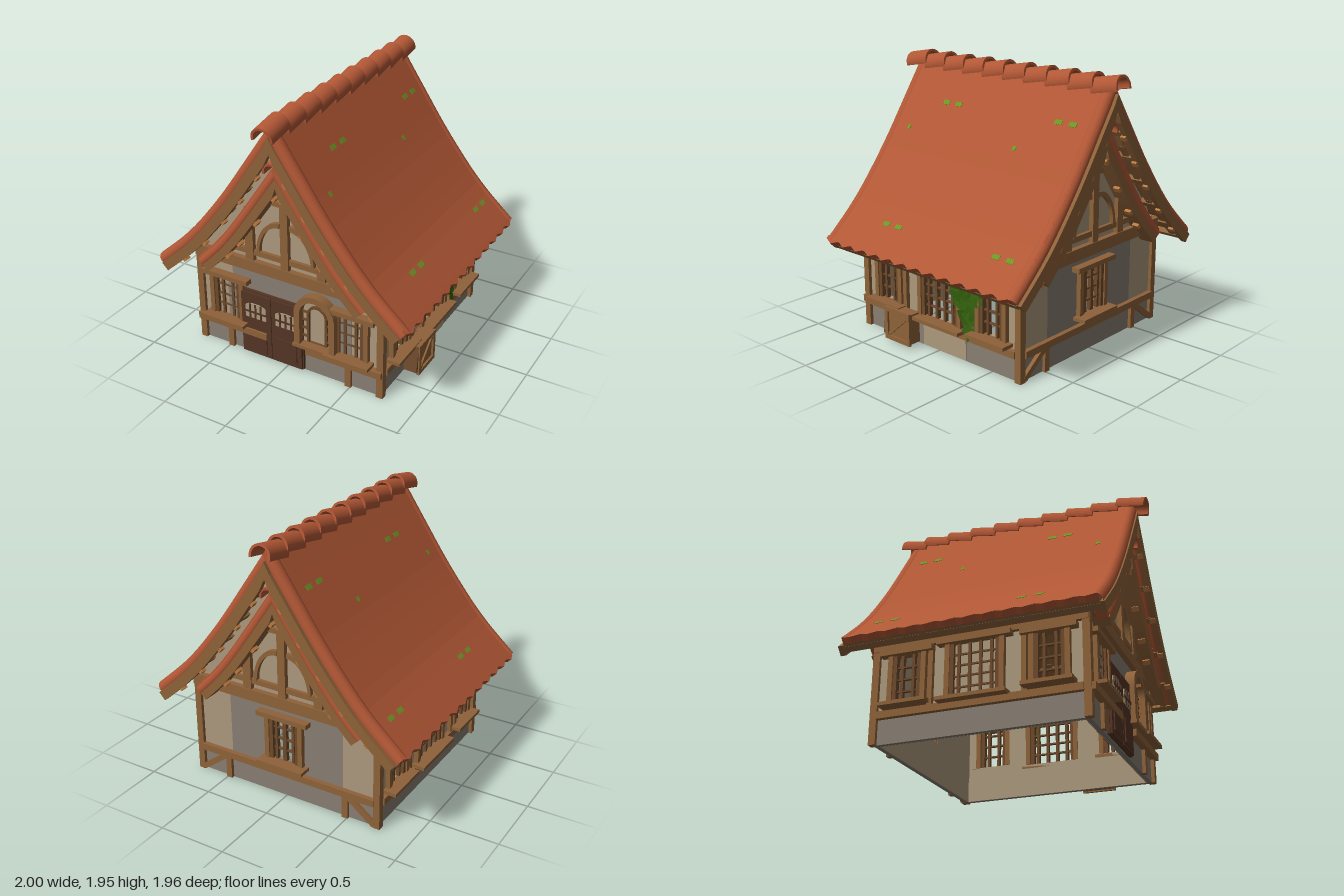
import * as THREE from 'three';

const mat = (name, color, two) => {
  const m = new THREE.MeshStandardMaterial({ color });
  m.name = name;
  if (two) m.side = THREE.DoubleSide;
  return m;
};
const M = {
  tile: mat('terracotta', 0xb15735), plaster: mat('plaster', 0xac997d), stone: mat('grey stone', 0x887e72),
  wood: mat('timber', 0x8e6239), dark: mat('dark timber', 0x543524), lattice: mat('lattice wood', 0x6e4a2c),
  peg: mat('pale wood', 0xb97a42), moss: mat('moss', 0x6c9624), ivy: mat('ivy', 0x33600d, true),
};

function add(parent, name, geo, material, x = 0, y = 0, z = 0, rz = 0) {
  const m = new THREE.Mesh(geo, material);
  m.name = name;
  m.position.set(x, y, z);
  m.rotation.z = rz;
  parent.add(m);
  return m;
}
const box = (p, name, m, w, h, d, x, y, z, rz) => add(p, name, new THREE.BoxGeometry(w, h, d), m, x, y, z, rz);
const extrude = (shape, depth) => new THREE.ExtrudeGeometry(shape, { depth, bevelEnabled: false, curveSegments: 12 });
// beam between two points of a wall
function beam(p, name, m, x0, y0, x1, y1, w, d, z) {
  return box(p, name, m, Math.hypot(x1 - x0, y1 - y0), w, d, (x0 + x1) / 2, (y0 + y1) / 2, z, Math.atan2(y1 - y0, x1 - x0));
}
const rect = (x0, y0, x1, y1) => [[x0, y0], [x1, y0], [x1, y1], [x0, y1]].map(a => new THREE.Vector2(...a));

// curved roof profiles, from the ridge to the right eave
const curve = pts => new THREE.SplineCurve(pts.map(p => new THREE.Vector2(...p)));
const mainCurve = curve([[0, 1.9], [0.2, 1.605], [0.43, 1.275], [0.7, 0.945], [0.98, 0.685]]);
const porchCurve = curve([[0, 1.61], [0.17, 1.36], [0.38, 1.06], [0.52, 0.885], [0.67, 0.73]]);
function offset(c, off, t) {
  const p = c.getPoint(t), d = c.getTangent(t);
  if (t === 0) return new THREE.Vector2(0, p.y - off / d.x);
  return new THREE.Vector2(Math.max(0, p.x + d.y * off), p.y - d.x * off);
}
function side(c, off, n = 16) {
  return Array.from({ length: n + 1 }, (_, i) => offset(c, off, i / n));
}
const flip = a => a.map(p => new THREE.Vector2(-p.x, p.y));
// whole two-sided roof layer lying between two depths below the profile
function roofLayer(p, name, m, c, o0, o1, z0, z1) {
  const a = side(c, o0), b = side(c, o1);
  const s = new THREE.Shape([...flip(a).reverse(), ...a.slice(1), ...b.reverse(), ...flip(b).reverse().slice(1)]);
  return add(p, name, extrude(s, z1 - z0), m, 0, 0, z0);
}
function verge(p, c, z, r) {
  for (const s of [-1, 1]) {
    const path = new THREE.CatmullRomCurve3(side(c, r * 0.85, 10).map(q => new THREE.Vector3(s * q.x, q.y, z)));
    add(p, 'vergeTiles', new THREE.TubeGeometry(path, 20, r, 12), M.tile);
  }
}
function ridgeTile(p, r, len, y, z, tilt) {
  const s = new THREE.Shape();
  s.absarc(0, 0, r, -0.25, Math.PI + 0.25, false);
  s.absarc(0, 0, r * 0.78, Math.PI + 0.25, -0.25, true);
  const g = extrude(s, len);
  g.translate(0, 0, -len / 2);
  add(p, 'ridgeTile', g, M.tile, 0, y, z).rotation.x = tilt;
}

function wallPlate(p, name, m, outline, holes, z = -0.03, depth = 0.03) {
  const s = new THREE.Shape(outline);
  for (const h of holes) s.holes.push(new THREE.Path(h));
  add(p, name, extrude(s, depth), m, 0, 0, z);
}
const hole = w => rect(w.u - w.w / 2, w.y0, w.u + w.w / 2, w.y1);
// latticed window with frame, sill and lintel
function windowFrame(p, { u, w, y0, y1, cols = 3, rows = 4 }) {
  const g = new THREE.Group(), h = y1 - y0, ym = (y0 + y1) / 2;
  g.name = 'window';
  p.add(g);
  for (const s of [-1, 1]) {
    box(g, 'windowJamb', M.wood, 0.035, h, 0.07, u + s * (w / 2), ym, 0);
    box(g, 'casement', M.lattice, 0.03, h, 0.04, u + s * (w / 2 - 0.03), ym, 0.005);
  }
  box(g, 'windowLintel', M.wood, w + 0.14, 0.035, 0.09, u, y1 + 0.015, 0.015);
  box(g, 'windowSill', M.wood, w + 0.1, 0.025, 0.13, u, y0 - 0.015, 0.035);
  for (let i = 1; i < cols; i++) box(g, 'mullion', M.lattice, i * 2 === cols ? 0.03 : 0.02, h, 0.03, u - w / 2 + w * i / cols, ym, 0);
  for (let j = 1; j < rows; j++) box(g, 'glazingBar', M.lattice, w, 0.012, 0.02, u, y0 + h * j / rows, 0);
}

function gable(p) {
  // plaster triangle under the roof
  const a = side(mainCurve, 0.07).filter(q => q.y > 0.85);
  wallPlate(p, 'gableWall', M.plaster, [new THREE.Vector2(-0.73, 0.7), new THREE.Vector2(0.73, 0.7), ...a.reverse(), ...flip(a).reverse().slice(1)], []);
  box(p, 'tieBeam', M.wood, 1.5, 0.085, 0.06, 0, 0.745, 0.01);
  box(p, 'gableRail', M.wood, 0.9, 0.04, 0.04, 0, 0.85, 0.005);
  box(p, 'kingPost', M.wood, 0.06, 0.75, 0.05, 0, 1.15, 0.01);
  for (const s of [-1, 1]) {
    box(p, 'gablePost', M.wood, 0.065, 0.42, 0.045, s * 0.285, 0.98, 0.01);
    box(p, 'collar', M.wood, 0.1, 0.035, 0.04, s * 0.07, 1.27, 0.005);
    // arched brace
    const ring = new THREE.Shape();
    ring.absarc(0, 0, 0.27, 0, Math.PI / 2, false);
    ring.absarc(0, 0, 0.235, Math.PI / 2, 0, true);
    const g = extrude(ring, 0.03);
    g.scale(0.7, 1, 1);
    if (s > 0) add(p, 'archBrace', g, M.wood, 0.04, 0.86, 0);
    else add(p, 'archBrace', g, M.wood, -0.04, 0.86, 0.03).rotation.y = Math.PI;
  }
}

// front and back walls share this timber frame
function endWall(p, windows) {
  const holes = windows.map(hole);
  wallPlate(p, 'baseWall', M.stone, rect(-0.73, 0, 0.73, 0.17), []);
  wallPlate(p, 'innerLining', M.plaster, rect(-0.7, 0, 0.7, 0.7), holes, -0.037, 0.006);
  for (const s of [-1, 1]) {
    wallPlate(p, 'plasterPanel', M.plaster, s < 0 ? rect(-0.73, 0.17, -0.46, 0.7) : rect(0.46, 0.17, 0.73, 0.7), []);
    box(p, 'cornerPost', M.wood, 0.05, 0.76, 0.05, s * 0.73, 0.38, 0);
    box(p, 'basePost', M.wood, 0.045, 0.19, 0.04, s * 0.485, 0.095, 0.005);
  }
  wallPlate(p, 'centrePanel', M.stone, rect(-0.46, 0.17, 0.46, 0.7), holes);
  gable(p);
}

function arched(w, h, r) {
  const s = new THREE.Shape();
  s.moveTo(-w, 0).lineTo(w, 0).lineTo(w, h);
  s.absellipse(0, h, w, r, 0, Math.PI, false, 0);
  s.closePath();
  return s;
}

export function createModel() {
  const house = new THREE.Group();
  house.name = 'house';
  const wall = (name, x, z, ry) => {
    const g = new THREE.Group();
    g.name = name;
    g.position.set(x, 0, z);
    g.rotation.y = ry;
    house.add(g);
    return g;
  };

  // front wall with doors, two windows and an arched window
  const front = wall('frontWall', 0, 0.72, 0);
  endWall(front, []);
  for (const s of [-1, 1]) {
    box(front, 'frontRail', M.wood, 0.59, 0.05, 0.06, s * 0.455, 0.195, 0.02);
    box(front, 'windowBacking', M.stone, 0.12, 0.32, 0.008, s * 0.44, 0.42, 0.002);
    windowFrame(front, { u: s * 0.5, w: 0.25, y0: 0.26, y1: 0.58 });
  }
  box(front, 'doorFrame', M.dark, 0.51, 0.52, 0.02, -0.125, 0.27, 0.01);
  box(front, 'innerDoor', M.dark, 0.25, 0.5, 0.02, -0.3, 0.27, -0.045);
  for (const s of [-1, 1]) {
    const x = -0.125 + s * 0.125;
    box(front, 'doorLeaf', M.dark, 0.245, 0.5, 0.02, x, 0.265, 0.025);
    box(front, 'doorPanel', M.dark, 0.17, 0.17, 0.015, x, 0.13, 0.035);
    add(front, 'doorPane', extrude(arched(0.085, 0.09, 0.03), 0.006), M.plaster, x, 0.32, 0.035);
    for (const k of [-1, 0, 1]) box(front, 'doorBar', M.dark, 0.014, 0.115, 0.01, x + k * 0.045, 0.378, 0.04);
    box(front, 'doorBar', M.dark, 0.17, 0.014, 0.01, x, 0.37, 0.04);
  }
  const archFrame = arched(0.16, 0.25, 0.165);
  archFrame.holes.push(new THREE.Path(arched(0.115, 0.25, 0.12).getPoints(12)));
  add(front, 'archedFrame', extrude(archFrame, 0.07), M.wood, 0.245, 0.25, 0);
  add(front, 'archedPane', extrude(arched(0.12, 0.25, 0.12), 0.008), M.plaster, 0.245, 0.25, 0.002);
  const inner = arched(0.08, 0.22, 0.08);
  inner.holes.push(new THREE.Path(arched(0.062, 0.22, 0.062).getPoints(12)));
  add(front, 'archedTracery', extrude(inner, 0.02), M.lattice, 0.245, 0.27, 0.01);
  for (const s of [-1, 1]) for (let j = 0; j < 4; j++) box(front, 'archedBar', M.lattice, 0.05, 0.012, 0.015, 0.245 + s * 0.095, 0.31 + j * 0.065, 0.02);
  box(front, 'archedSill', M.wood, 0.34, 0.025, 0.1, 0.245, 0.245, 0.03);

  // back wall with one central window and corner braces
  const back = wall('backWall', 0, -0.745, Math.PI);
  const backWin = { u: 0, w: 0.27, y0: 0.29, y1: 0.62, cols: 4 };
  endWall(back, [backWin]);
  windowFrame(back, backWin);
  box(back, 'backRail', M.wood, 1.42, 0.05, 0.05, 0, 0.195, 0.01);
  for (const s of [-1, 1]) beam(back, 'cornerBrace', M.wood, s * 0.71, 0.02, s * 0.5, 0.18, 0.04, 0.035, 0.01);

  // long side walls
  const sideWins = [
    { u: -0.49, w: 0.24, y0: 0.26, y1: 0.6 }, { u: 0.5, w: 0.24, y0: 0.26, y1: 0.6 },
    { u: 0.02, w: 0.38, y0: 0.24, y1: 0.62, cols: 5, rows: 5 }];
  for (const s of [-1, 1]) {
    const g = wall(s > 0 ? 'leftWall' : 'rightWall', s * 0.73, -0.0125, s * Math.PI / 2);
    const wins = sideWins.map(w => ({ ...w, u: w.u * s }));
    wallPlate(g, 'baseWall', M.stone, rect(-0.73, 0, 0.73, 0.17), []);
    wallPlate(g, 'innerLining', M.plaster, rect(-0.7, 0, 0.7, 0.17), [], -0.037, 0.006);
    if (s > 0) wallPlate(g, 'basePatch', M.plaster, rect(-0.16, 0.005, 0.25, 0.165), [], 0.001, 0.006);
    // the middle window of the right wall is blind
    wallPlate(g, 'plasterWall', M.plaster, rect(-0.73, 0.17, 0.73, 0.8), (s > 0 ? wins : wins.slice(0, 2)).map(hole));
    wins.forEach(w => windowFrame(g, w));
    box(g, 'sideRail', M.wood, 1.42, 0.05, 0.05, 0, 0.195, 0.01);
    box(g, 'wallPlateBeam', M.wood, 1.5, 0.07, 0.06, 0, 0.68, 0);
    for (const u of [-0.32, 0.33]) box(g, 'sidePost', M.wood, 0.035, 0.46, 0.05, u * s, 0.43, 0.005);
  }

  // wooden crate by the left wall
  const crate = wall('crate', 0.805, 0.285, Math.PI / 2);
  box(crate, 'crateBody', M.wood, 0.24, 0.22, 0.09, 0, 0.14, 0);
  for (const s of [-1, 1]) {
    box(crate, 'crateEdge', M.wood, 0.03, 0.24, 0.02, s * 0.11, 0.14, 0.05);
    box(crate, 'crateEdge', M.wood, 0.25, 0.03, 0.02, 0, 0.14 + s * 0.105, 0.05);
  }
  beam(crate, 'crateBrace', M.wood, -0.1, 0.05, 0.1, 0.23, 0.025, 0.015, 0.05);
  beam(crate, 'crateLid', M.lattice, -0.14, 0.05, -0.115, 0.25, 0.02, 0.1, 0);

  // climbing ivy, close to the wall
  let seed = 7;
  const rnd = () => (seed = (seed * 16807) % 2147483647) / 2147483647;
  const leaf = new THREE.ShapeGeometry(new THREE.Shape([[0, -0.06], [0.055, 0], [0.025, 0.02], [0, 0.075], [-0.035, 0.02], [-0.05, -0.01]].map(a => new THREE.Vector2(...a))));
  for (let i = 0; i < 54; i++) {
    const y = 0.24 + 0.39 * Math.sqrt(rnd()), spread = 0.03 + Math.max(0, y - 0.32) * 0.45;
    const m = add(house, 'ivyLeaf', leaf, M.ivy, 0.757 + rnd() * 0.012, y, -0.3 + (rnd() * 2 - 1) * spread);
    m.rotation.set(rnd() * 0.4 - 0.2, Math.PI / 2 + rnd() * 0.5 - 0.25, 0, 'YXZ');
    m.rotateZ(rnd() * 6);
  }

  // main roof
  roofLayer(house, 'roofTiles', M.tile, mainCurve, 0, 0.045, -0.89, 0.87);
  roofLayer(house, 'roofBoards', M.wood, mainCurve, 0.045, 0.065, -0.89, 0.87);
  for (const z of [0.86, -0.935]) roofLayer(house, 'bargeBoard', M.wood, mainCurve, 0.055, 0.125, z, z + 0.04);
  verge(house, mainCurve, 0.845, 0.048);
  verge(house, mainCurve, -0.865, 0.048);
  const patch = (s, t, z, w) => {
    const q = offset(mainCurve, -0.001, t), d = mainCurve.getTangent(t);
    box(house, 'moss', M.moss, 0.034, 0.004, w, s * q.x, q.y, z, s * Math.atan2(d.y, d.x));
  };
  for (const s of [-1, 1]) {
    // purlins, pegs, rafters and moss
    for (const t of [0.12, 0.27, 0.42, 0.56, 0.71, 0.85, 0.98]) {
      const q = offset(mainCurve, 0.085, t), e = offset(mainCurve, 0.125, t);
      const d = mainCurve.getTangent(t), a = s * Math.atan2(d.y, d.x);
      box(house, 'purlin', M.wood, 0.04, 0.04, 1.76, s * q.x, q.y, -0.01, a);
      for (const z of [0.875, -0.91]) if (t < 0.9) box(house, 'peg', M.peg, 0.035, 0.035, 0.04, s * e.x, e.y, z, a);
    }
    for (const z of [0.8, 0.4, 0, -0.4, -0.82]) {
      const pts = [0.03, 0.35, 0.68, 0.99].map(t => offset(mainCurve, 0.08, t));
      for (let i = 0; i < 3; i++) beam(house, 'rafter', M.wood, s * pts[i].x, pts[i].y, s * pts[i + 1].x, pts[i + 1].y, 0.045, 0.045, z);
    }
    for (const t of [0.24, 0.83]) for (const z of [0.43, 0.31, -0.6, -0.72]) patch(s, t, z, 0.062);
    for (const z of [0.69, -0.33]) patch(s, 0.39, z, 0.03);
    // pointed lower edge of the tiles
    const teeth = [new THREE.Vector2(-0.88, -0.03)];
    for (let i = 0; i <= 26; i++) teeth.push(new THREE.Vector2(-0.88 + i * 0.0673, i % 2 ? 0.027 : -0.003));
    teeth.push(new THREE.Vector2(0.87, -0.03));
    const g = extrude(new THREE.Shape(teeth.reverse()), 0.045);
    g.rotateX(Math.PI / 2);
    g.rotateY(Math.PI / 2);
    const d = mainCurve.getTangent(1), pivot = new THREE.Group();
    pivot.name = 'eaveTiles';
    pivot.position.set(s * 0.98, 0.687, s > 0 ? 0 : -0.01);
    pivot.rotation.set(0, s > 0 ? 0 : Math.PI, Math.atan2(d.y, d.x));
    add(pivot, 'eaveTileEdge', g, M.tile);
    house.add(pivot);
  }
  for (let i = 0; i < 10; i++) ridgeTile(house, 0.08, 0.21, 1.85, 0.862 - i * 0.1925, 0.18);

  // smaller gable roof nested below each end of the main roof
  for (const s of [-1, 1]) {
    const porch = wall(s > 0 ? 'frontGableRoof' : 'backGableRoof', 0, s > 0 ? 0 : -0.02, s > 0 ? 0 : Math.PI);
    roofLayer(porch, 'gableTiles', M.tile, porchCurve, 0, 0.055, 0.7, 0.83);
    roofLayer(porch, 'gableBargeBoard', M.wood, porchCurve, 0.055, 0.115, 0.72, 0.84);
    verge(porch, porchCurve, 0.8, 0.045);
    ridgeTile(porch, 0.07, 0.17, 1.57, 0.79, 0.1);
    for (const k of [-1, 1]) for (const t of [0.2, 0.38, 0.56, 0.74]) {
      const q = offset(porchCurve, 0.12, t), d = porchCurve.getTangent(t);
      box(porch, 'gablePeg', M.peg, 0.035, 0.035, 0.05, k * q.x, q.y, 0.8, k * Math.atan2(d.y, d.x));
    }
  }
  return house;
}
